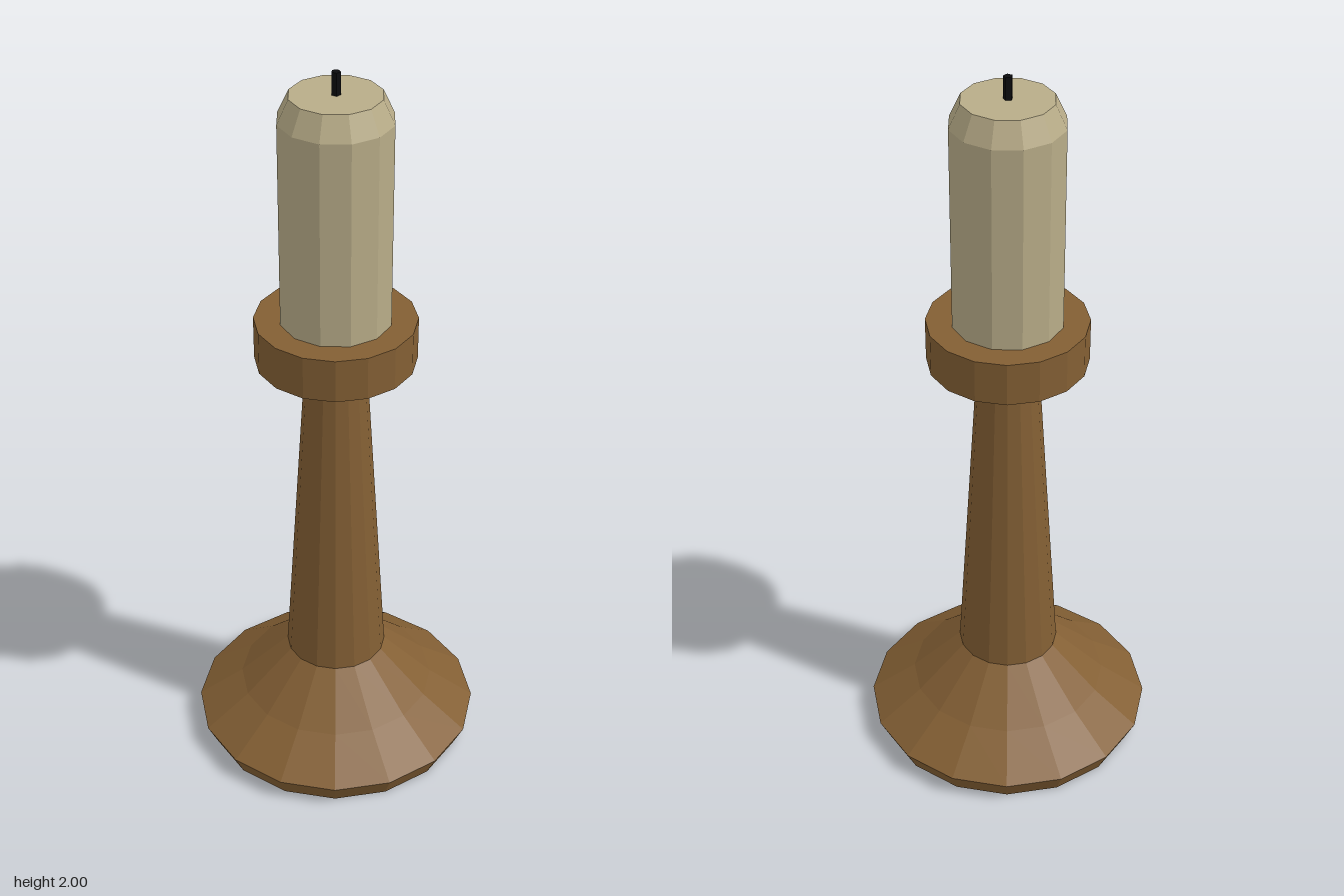
import * as THREE from 'three';

const material = (name, color) => {
  const m = new THREE.MeshStandardMaterial({ color, flatShading: true });
  m.name = name;
  return m;
};

export function createModel() {
  const model = new THREE.Group();
  model.name = 'candlestick';

  const wood = material('brown wood', 0x835f34);
  const wax = material('cream wax', 0xb8ac88);
  const char = material('black wick', 0x0c0c0e);

  // Turns a profile of [radius, height] points, listed from bottom to top
  const turn = (name, profile, sides, mat) => {
    const points = profile.map(([r, y]) => new THREE.Vector2(r, y));
    const mesh = new THREE.Mesh(new THREE.LatheGeometry(points, sides), mat);
    mesh.name = name;
    model.add(mesh);
    return mesh;
  };

  // Flared foot with an undercut rim
  turn('base', [[0, 0], [0.365, 0], [0.393, 0.06], [0.27, 0.15], [0.137, 0.275]], 16, wood);

  // Tapered stem
  turn('stem', [[0.137, 0.275], [0.083, 1.155]], 16, wood);

  // Cup with a conical underside and flat top
  turn('cup', [[0.083, 1.155], [0.21, 1.215], [0.21, 1.333], [0, 1.333]], 16, wood);

  // Candle with a bevelled top edge
  turn('candle', [[0.145, 1.333], [0.145, 1.88], [0.116, 1.942], [0, 1.942]], 12, wax);

  // Five-sided wick, one corner to the back
  const wick = turn('wick', [[0.012, 1.942], [0.012, 2], [0, 2]], 5, char);
  wick.rotation.y = Math.PI;

  return model;
}
